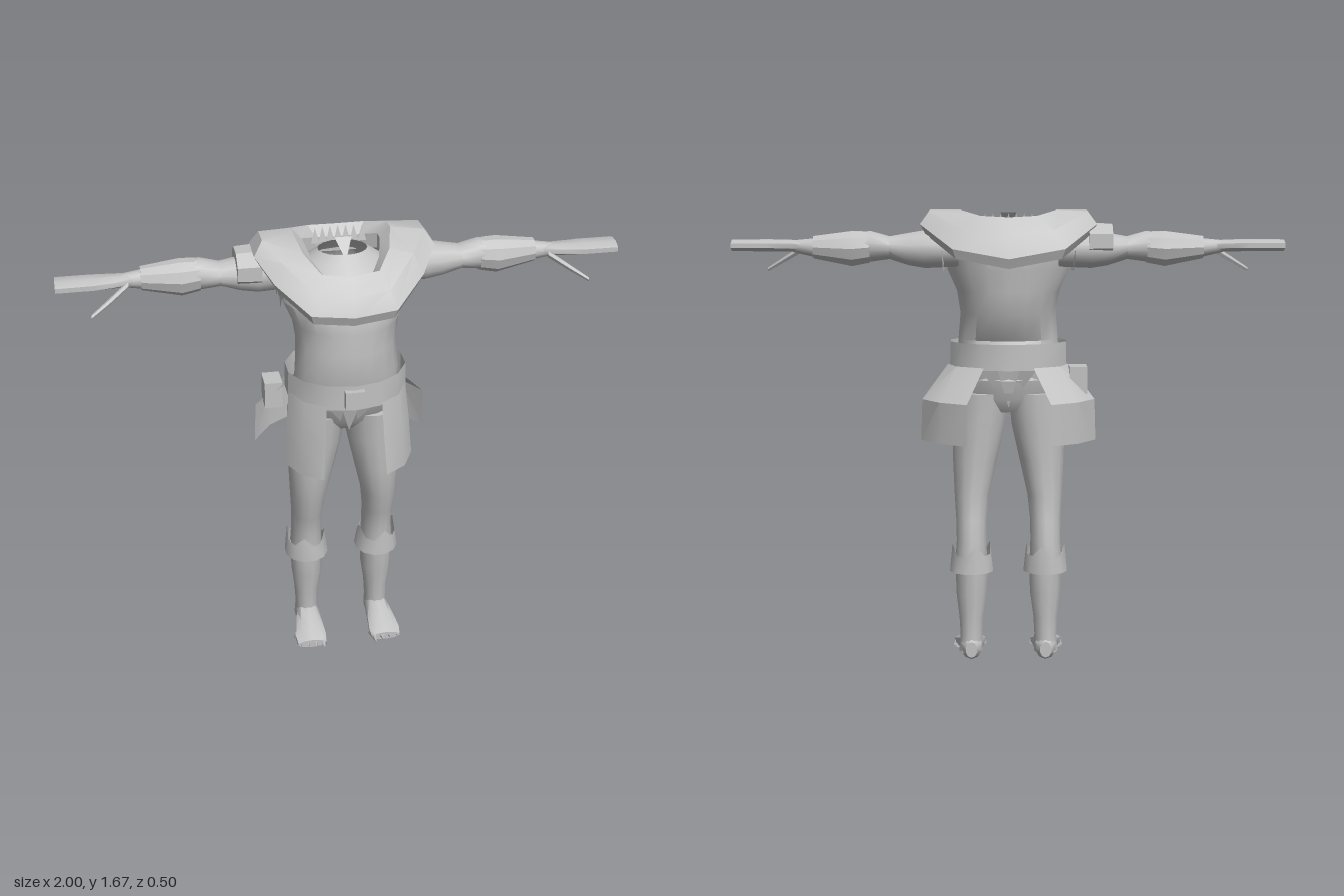
import * as THREE from 'three';
import { toCreasedNormals } from 'three/addons/utils/BufferGeometryUtils.js';

const grey = new THREE.MeshStandardMaterial({ color: 0xc2c2c2, side: THREE.DoubleSide });
grey.name = 'plain grey';

// Skin a list of point rows; wrap joins row ends, cap closes first and last row
function skin(rows, { wrap = true, cap = true, crease = 0.7 } = {}) {
  const n = rows[0].length, pos = rows.flat(2), idx = [];
  for (let i = 0; i < rows.length - 1; i++) {
    for (let j = 0; j < (wrap ? n : n - 1); j++) {
      const k = (j + 1) % n, a = i * n + j, b = i * n + k;
      idx.push(a, b, b + n, a, b + n, a + n);
    }
  }
  if (wrap && cap) {
    const last = (rows.length - 1) * n;
    for (let j = 1; j < n - 1; j++) idx.push(0, j + 1, j, last, last + j, last + j + 1);
  }
  const g = new THREE.BufferGeometry();
  g.setAttribute('position', new THREE.Float32BufferAttribute(pos, 3));
  g.setIndex(idx);
  return toCreasedNormals(g, crease);
}

// Oval section across an axis: position along it, two centre and two radius values
function oval(axis, [p, c1, c2, r1, r2], n) {
  return Array.from({ length: n }, (_, j) => {
    const a = ((j + 0.5) / n) * Math.PI * 2;
    const u = Math.cos(a) * r1, v = Math.sin(a) * r2;
    if (axis === 'x') return [p, c1 + u, c2 + v];
    if (axis === 'y') return [c1 + u, p, c2 - v];
    return [c1 + u, c2 + v, p];
  });
}
const loft = (axis, list, n = 12, opts) => skin(list.map(s => oval(axis, s, n)), opts);

// Copy a part to the other side, keeping faces outward
function mirrored(geo) {
  const g = geo.index ? geo.toNonIndexed() : geo.clone();
  for (const name of ['position', 'normal']) {
    const at = g.getAttribute(name);
    for (let i = 0; i < at.count; i += 3) {
      const v = [0, 1, 2].map(k => [-at.getX(i + k), at.getY(i + k), at.getZ(i + k)]);
      [v[0], v[2], v[1]].forEach((q, k) => at.setXYZ(i + k, ...q));
    }
  }
  return g;
}

export function createModel() {
  const group = new THREE.Group();
  const add = (name, geo) => {
    const m = new THREE.Mesh(geo, grey);
    m.name = name;
    group.add(m);
  };
  const pair = (name, geo) => {
    add(name + 'Left', geo);
    add(name + 'Right', mirrored(geo));
  };
  const box = (w, h, d, x, y, z) => new THREE.BoxGeometry(w, h, d).translate(x, y, z);
  const shard = (a, b, c) => skin([[a, b], [c, c]], { wrap: false });

  // Torso with an open neck stump
  add('torso', loft('y', [
    [1.05, 0, 0.02, 0.19, 0.14], [1.19, 0, 0.07, 0.187, 0.135], [1.29, 0, 0.04, 0.178, 0.168],
    [1.37, 0, 0.035, 0.19, 0.168], [1.45, 0, 0.025, 0.225, 0.175], [1.52, 0, 0.0, 0.22, 0.155],
    [1.57, 0, -0.01, 0.15, 0.11], [1.61, 0, -0.015, 0.088, 0.07]], 18, { cap: false }));

  // Torn points around the neck and under the shoulders
  for (let i = 0; i < 7; i++) {
    const x = (i - 3) * 0.028, z = -0.1 + x * x * 2;
    add('neckTear', shard([x - 0.015, 1.6, z], [x + 0.015, 1.6, z], [x, 1.655, z - 0.01]));
  }
  add('throatTear', shard([-0.03, 1.655, 0.0], [0.03, 1.655, 0.0], [0, 1.59, 0.06]));
  for (let i = 0; i < 5; i++) {
    const z = -0.14 + i * 0.05;
    pair('shoulderTear', shard([0.24, 1.52, z], [0.23, 1.52, z + 0.05], [0.235, 1.44 + 0.02 * (i % 2), z + 0.02]));
  }

  // Broad shoulder collar: half outlines from front to back
  const inner = [[0, 1.575, 0.165], [0.1, 1.585, 0.15], [0.15, 1.63, 0.07], [0.172, 1.668, -0.03],
    [0.172, 1.665, -0.09], [0.1, 1.645, -0.15], [0, 1.64, -0.16]];
  const middle = [[0, 1.52, 0.212], [0.13, 1.53, 0.195], [0.23, 1.615, 0.095], [0.285, 1.668, 0.01],
    [0.285, 1.66, -0.09], [0.16, 1.595, -0.185], [0, 1.58, -0.2]];
  const outer = [[0, 1.455, 0.24], [0.15, 1.468, 0.228], [0.26, 1.55, 0.13], [0.318, 1.62, 0.04],
    [0.318, 1.615, -0.1], [0.2, 1.53, -0.21], [0, 1.495, -0.23]];
  const shift = (row, s, dy) => row.map(([x, y, z]) => [x * s, y + dy, z * s]);
  const full = row => [...row, ...row.slice(1, -1).reverse().map(([x, y, z]) => [-x, y, z])];
  add('collar', skin([
    shift(inner, 0.98, -0.09), shift(outer, 0.94, -0.035), outer, middle, inner,
    shift(inner, 0.78, -0.035), shift(inner, 0.78, -0.09)].map(full), { cap: false, crease: 0.45 }));

  // Arms, bracers, flat hands and thumbs
  pair('arm', loft('x', [
    [0.18, 1.53, -0.05, 0.07, 0.08], [0.3, 1.525, -0.05, 0.07, 0.08], [0.36, 1.525, -0.05, 0.06, 0.07],
    [0.43, 1.53, -0.05, 0.042, 0.06], [0.5, 1.535, -0.05, 0.057, 0.056], [0.57, 1.53, -0.05, 0.052, 0.05],
    [0.7, 1.53, -0.05, 0.035, 0.035], [0.78, 1.535, -0.04, 0.022, 0.025]]));
  pair('bracer', loft('x', [
    [0.5, 1.532, -0.05, 0.058, 0.056], [0.565, 1.527, -0.05, 0.066, 0.064], [0.705, 1.532, -0.053, 0.042, 0.042]],
    10, { crease: 0.4 }));
  pair('hand', loft('x', [
    [0.71, 1.535, -0.045, 0.02, 0.022], [0.8, 1.537, -0.035, 0.023, 0.042], [0.87, 1.538, -0.032, 0.023, 0.054],
    [1.0, 1.538, -0.032, 0.022, 0.055]], 8, { crease: 0.9 }));
  pair('thumb', skin([[0.75, 1.525, -0.02, 0.014], [0.82, 1.485, 0.025, 0.012], [0.885, 1.447, 0.055, 0.008]]
    .map(([x, y, z, r]) => oval('x', [x, y, z, r, r], 6))));
  add('armBand', loft('x', [[-0.375, 1.555, -0.045, 0.065, 0.09], [-0.29, 1.555, -0.045, 0.07, 0.095]], 8,
    { crease: 0.3 }));

  // Belt, buckle and pouch
  add('belt', loft('y', [[1.09, 0, 0.038, 0.22, 0.19], [1.185, 0, 0.038, 0.218, 0.19]], 14,
    { cap: false, crease: 0.5 }));
  add('buckle', box(0.07, 0.065, 0.03, 0, 1.137, 0.23));
  add('pouch', box(0.065, 0.1, 0.09, -0.255, 1.05, -0.05));

  // Cloth flaps hanging at the four corners of the belt
  pair('frontFlap', skin([
    [[0.115, 0.83, 0.255], [0.19, 0.83, 0.205], [0.235, 0.83, 0.11]],
    [[0.105, 0.98, 0.24], [0.18, 0.98, 0.19], [0.225, 0.98, 0.095]],
    [[0.1, 1.11, 0.222], [0.17, 1.11, 0.175], [0.213, 1.11, 0.08]]], { wrap: false }));
  pair('backFlap', skin([
    [[0.32, 0.83, -0.075], [0.25, 0.83, -0.18], [0.15, 0.83, -0.25]],
    [[0.315, 0.98, -0.075], [0.25, 0.98, -0.18], [0.15, 0.98, -0.25]],
    [[0.222, 1.1, 0.02], [0.19, 1.1, -0.08], [0.09, 1.1, -0.145]]], { wrap: false, crease: 0.4 }));

  // Hips and torn loincloth
  add('hips', loft('y', [[0.93, 0, 0.0, 0.13, 0.07], [0.98, 0, 0.005, 0.19, 0.11],
    [1.1, 0, 0.02, 0.2, 0.14]], 16));
  for (const z of [0.16, -0.125]) {
    for (let i = -1; i <= 1; i++) {
      add('loinclothTear', shard([i * 0.06 - 0.04, 1.09, z], [i * 0.06 + 0.04, 1.09, z],
        [i * 0.03, i ? 0.99 : 0.95, z * 0.75]));
    }
  }

  // Trouser legs with ragged cuffs
  pair('trouserLeg', loft('y', [
    [0.38, 0.138, -0.05, 0.06, 0.078], [0.45, 0.137, -0.047, 0.056, 0.08], [0.53, 0.137, -0.03, 0.058, 0.08],
    [0.62, 0.135, -0.008, 0.066, 0.092], [0.75, 0.123, 0.0, 0.084, 0.1], [0.88, 0.11, 0.003, 0.1, 0.11],
    [1.0, 0.102, 0.005, 0.105, 0.12]], 14));
  const cuffTop = oval('y', [0.41, 0.138, -0.05, 0.072, 0.088], 12)
    .map(([x, y, z], j) => [x, y + (j % 3 === 0 ? 0.03 : -0.01), z]);
  pair('cuff', skin([oval('y', [0.37, 0.138, -0.05, 0.06, 0.075], 12),
    oval('y', [0.335, 0.137, -0.05, 0.083, 0.09], 12), cuffTop], { cap: false }));

  // Bare shins and feet
  pair('shin', loft('y', [
    [0.03, 0.14, -0.06, 0.045, 0.055], [0.09, 0.138, -0.056, 0.042, 0.056], [0.16, 0.138, -0.056, 0.046, 0.056],
    [0.25, 0.137, -0.05, 0.058, 0.07], [0.37, 0.137, -0.05, 0.062, 0.076]]));
  pair('foot', loft('z', [
    [-0.118, 0.138, 0.045, 0.022, 0.03], [-0.09, 0.138, 0.05, 0.04, 0.048], [-0.02, 0.138, 0.05, 0.046, 0.05],
    [0.04, 0.142, 0.038, 0.054, 0.036], [0.1, 0.145, 0.026, 0.062, 0.025], [0.135, 0.145, 0.018, 0.058, 0.016]], 10));
  for (let i = 0; i < 4; i++) {
    pair('toe', new THREE.ConeGeometry(0.019, 0.075, 5).rotateX(Math.PI / 2)
      .translate(0.1 + i * 0.03, 0.019, 0.137 - i * 0.009));
  }
  return group;
}
